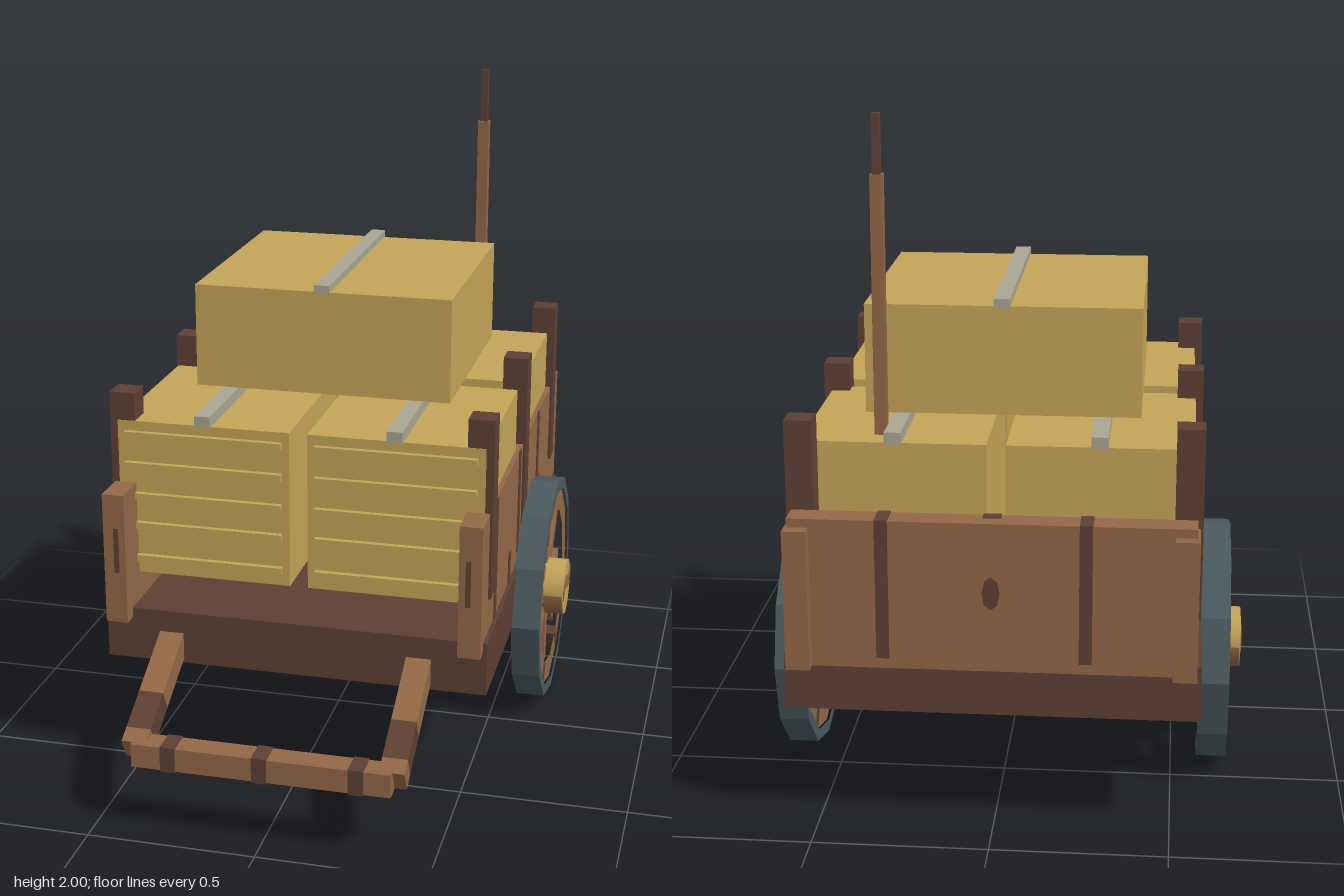
import * as THREE from 'three';

const mat = (name, color) => Object.assign(new THREE.MeshStandardMaterial({ color }), { name });

export function createModel() {
  const wood = mat('wood', 0x936846);
  const dark = mat('dark wood', 0x5e4034);
  const crateWood = mat('crate wood', 0xc5a458);
  const strapGrey = mat('strap grey', 0xa9a692);
  const iron = mat('tyre iron', 0x4a5a5f);
  const cart = new THREE.Group();
  cart.name = 'handcart';

  const add = (name, geo, m, parent = cart) => {
    const mesh = new THREE.Mesh(geo, m);
    mesh.name = name;
    parent.add(mesh);
    return mesh;
  };
  // box from its minimum and maximum corners
  const box = (name, m, x0, x1, y0, y1, z0, z1, parent = cart) => {
    const mesh = add(name, new THREE.BoxGeometry(x1 - x0, y1 - y0, z1 - z0), m, parent);
    mesh.position.set((x0 + x1) / 2, (y0 + y1) / 2, (z0 + z1) / 2);
    return mesh;
  };
  // the same box on both sides
  const pair = (name, m, x0, x1, ...rest) => {
    box(name + 'Left', m, x0, x1, ...rest);
    box(name + 'Right', m, -x1, -x0, ...rest);
  };

  // bed and walls
  box('bed', dark, -0.58, 0.58, 0.367, 0.53, -0.9, 0.565);
  pair('sideWall', wood, 0.5, 0.567, 0.5, 0.905, -0.943, 0.61);
  box('backBoard', wood, -0.56, 0.56, 0.5, 0.93, -0.907, -0.83);

  // stakes
  for (const [z, y] of [[0.455, 0.64], [-0.168, 0.57], [-0.788, 0.64]])
    pair('stake', dark, 0.498, 0.575, y, 1.185, z - 0.039, z + 0.039);

  // grain stains on the side walls: z centre, width, bottom, top
  const wallStains = [[0.37, 0.035, 0.5, 0.905], [-0.068, 0.035, 0.57, 0.905], [-0.47, 0.035, 0.64, 0.905],
    [-0.51, 0.04, 0.53, 0.67], [0.1, 0.035, 0.53, 0.63]];
  for (const [z, w, y0, y1] of wallStains)
    pair('wallStain', dark, 0.565, 0.57, y0, y1, z - w / 2, z + w / 2);
  pair('wallEndStain', dark, 0.52, 0.535, 0.66, 0.8, 0.608, 0.613);

  // grain stains and knot on the back board
  for (const x of [-0.26, 0.3])
    box('boardStain', dark, x - 0.018, x + 0.018, 0.53, 0.933, -0.91, -0.827);
  for (const z of [-0.909, -0.828]) {
    const knot = add('boardKnot', new THREE.CylinderGeometry(0.025, 0.025, 0.006, 8), dark);
    knot.rotation.x = Math.PI / 2;
    knot.scale.z = 1.9;
    knot.position.set(0, z < -0.85 ? 0.73 : 0.61, z);
  }
  box('boardTopStain', dark, -0.025, 0.025, 0.85, 0.933, -0.86, -0.827);

  // lower crates with top straps
  for (const [z0, z1] of [[-0.735, -0.155], [-0.075, 0.495]]) {
    pair('crate', crateWood, 0.027, 0.552, 0.62, 1.1, z0, z1);
    pair('crateStrap', strapGrey, 0.264, 0.311, 1.098, 1.133, z0 - 0.012, z1 + 0.012);
  }
  // ridges on the crate fronts
  for (const y of [1.06, 0.964, 0.868, 0.775, 0.67])
    pair('crateRidge', crateWood, 0.05, 0.53, y - 0.01, y + 0.01, 0.49, 0.512);

  // upper crate
  box('topCrate', crateWood, -0.396, 0.392, 1.133, 1.45, -0.545, 0.208);
  box('topCrateStrap', strapGrey, -0.023, 0.023, 1.445, 1.472, -0.552, 0.216);

  // pole
  box('pole', wood, 0.315, 0.35, 0.9, 1.835, -0.661, -0.626);
  box('poleTip', dark, 0.321, 0.344, 1.835, 2, -0.655, -0.632);

  // handle: two sloping arms in three lengths, and a cross bar
  for (const s of [-1, 1]) {
    const arm = new THREE.Group();
    arm.name = s > 0 ? 'handleArmLeft' : 'handleArmRight';
    arm.position.set(s * 0.378, 0.425, 0.56);
    arm.rotation.x = Math.atan2(0.18, 0.35);
    box('armUpper', wood, -0.037, 0.037, -0.036, 0.036, -0.04, 0.21, arm);
    box('armStain', dark, -0.037, 0.037, -0.036, 0.036, 0.21, 0.34, arm);
    box('armLower', wood, -0.037, 0.037, -0.036, 0.036, 0.34, 0.39, arm);
    cart.add(arm);
  }
  box('handleBar', wood, -0.38, 0.38, 0.212, 0.283, 0.87, 0.945);
  for (const x of [-0.27, 0, 0.28])
    box('barStain', dark, x - 0.022, x + 0.022, 0.209, 0.286, 0.867, 0.948);

  // wheels
  const ring = (outer, inner, depth) => {
    const points = r => Array.from({ length: 12 }, (_, i) =>
      new THREE.Vector2(r * Math.sin(i * Math.PI / 6), r * Math.cos(i * Math.PI / 6)));
    const shape = new THREE.Shape(points(outer));
    shape.holes.push(new THREE.Path(points(inner)));
    return new THREE.ExtrudeGeometry(shape, { depth, bevelEnabled: false }).translate(0, 0, -depth / 2);
  };
  const tyreGeo = ring(0.364, 0.328, 0.088);
  const rimGeo = ring(0.33, 0.255, 0.072);
  for (const s of [-1, 1]) {
    const wheel = new THREE.Group();
    wheel.name = s > 0 ? 'wheelLeft' : 'wheelRight';
    wheel.position.set(s * 0.621, 0.368, -0.28);
    wheel.rotation.y = s * Math.PI / 2;
    add('tyre', tyreGeo, iron, wheel);
    add('rim', rimGeo, wood, wheel);
    for (let i = 0; i < 8; i++) {
      const spoke = add('spoke', new THREE.BoxGeometry(0.045, 0.2, 0.04).translate(0, 0.17, 0), wood, wheel);
      spoke.rotation.z = i * Math.PI / 4;
    }
    // hub: brass upper half, stained lower half, wavy stain on the face
    for (const [m, start] of [[crateWood, 0], [wood, Math.PI]]) {
      const half = add('hub', new THREE.CylinderGeometry(0.092, 0.092, 0.158, 6, 1, false, start, Math.PI), m, wheel);
      half.rotation.set(Math.PI / 2, Math.PI / 2, 0);
    }
    const face = add('hubFace', new THREE.CylinderGeometry(0.091, 0.091, 0.006, 12), crateWood, wheel);
    face.rotation.x = Math.PI / 2;
    face.position.z = 0.08;
    const wave = new THREE.Shape();
    wave.moveTo(-0.08, -0.02);
    wave.bezierCurveTo(-0.03, 0.06, 0.01, -0.06, 0.08, 0.02);
    wave.lineTo(0.07, 0.05);
    wave.bezierCurveTo(0.02, 0, -0.02, 0.09, -0.085, 0.015);
    const stain = add('hubStain', new THREE.ExtrudeGeometry(wave, { depth: 0.004, bevelEnabled: false }), wood, wheel);
    stain.position.z = 0.082;
    // rim stains
    for (const a of [2.62, 3.67, 0.6]) {
      const mark = add('rimStain', new THREE.BoxGeometry(0.035, 0.065, 0.076).translate(0, 0.287, 0), dark, wheel);
      mark.rotation.z = a;
    }
    cart.add(wheel);
  }
  return cart;
}
